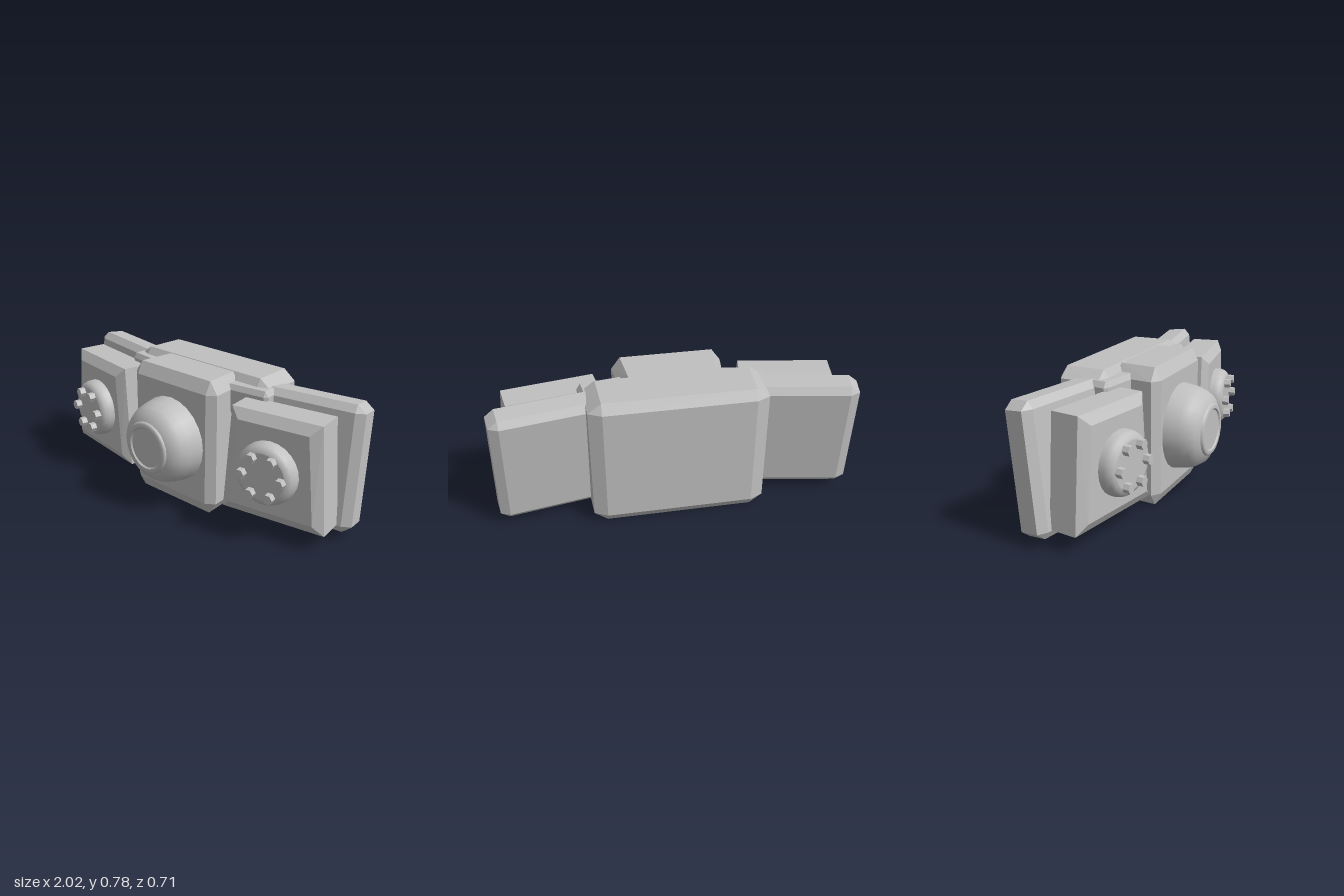
import * as THREE from 'three';
import { ConvexGeometry } from 'three/addons/geometries/ConvexGeometry.js';

const grey = new THREE.MeshStandardMaterial({ color: 0xc0c0c0 });
grey.name = 'light grey';

function part(name, geometry, parent, x = 0, y = 0, z = 0) {
  const mesh = new THREE.Mesh(geometry, grey);
  mesh.name = name;
  mesh.position.set(x, y, z);
  parent.add(mesh);
  return mesh;
}

// Box with half sizes h and chamfers c; the back narrows by the factor backScale
function chamferBox(h, c, backScale = 1) {
  const points = [];
  for (const sx of [-1, 1]) for (const sy of [-1, 1]) for (const sz of [-1, 1]) {
    const k = sz < 0 ? backScale : 1;
    for (let axis = 0; axis < 3; axis++) {
      const p = h.map((v, i) => (i === axis ? v : v - c[i]));
      points.push(new THREE.Vector3(sx * p[0] * k, sy * p[1], sz * p[2]));
    }
  }
  return new ConvexGeometry(points);
}

// Trapezoid pod, wider at the bottom, with a bevelled front
function podGeometry() {
  const points = [];
  for (const [z, inset] of [[-0.08, 0], [0.08, 0], [0.115, 0.055]]) {
    for (const s of [-1, 1]) {
      points.push(new THREE.Vector3(s * (0.257 - inset), 0.3 - inset, z));
      points.push(new THREE.Vector3(s * (0.302 - inset), -0.295 + inset, z));
    }
  }
  return new ConvexGeometry(points);
}

// Lathe turned so that its axis points to the front; points are [radius, z]
function turned(profile, segments) {
  const g = new THREE.LatheGeometry(profile.map(([r, z]) => new THREE.Vector2(r, z)), segments);
  return g.rotateX(Math.PI / 2);
}

export function createModel() {
  const model = new THREE.Group();
  model.name = 'device';
  const midY = 0.39;

  // Central body
  part('rearBlock', chamferBox([0.495, 0.39, 0.147], [0.075, 0.055, 0.035], 0.97), model, 0, midY, -0.208);
  part('frontBlock', chamferBox([0.31, 0.39, 0.14], [0.05, 0.07, 0.037], 0.92), model, 0, midY, 0.018);

  // Round nose with a rim and a flat cap
  part('nose', turned([[0.245, 0.13], [0.245, 0.16], [0.232, 0.24], [0.215, 0.285],
    [0.19, 0.322], [0.15, 0.34]], 24), model, 0, midY);
  part('noseRim', turned([[0.15, 0.335], [0.147, 0.348], [0.138, 0.355], [0.12, 0.355]], 24), model, 0, midY);
  part('noseCap', turned([[0.12, 0.355], [0.113, 0.347]], 24), model, 0, midY);
  part('noseCapFace', new THREE.CircleGeometry(0.113, 24), model, 0, midY, 0.347);

  for (const s of [1, -1]) {
    const side = s > 0 ? 'left' : 'right';

    // Wing panel, swept back and leaning back
    const wing = part(side + 'Wing', chamferBox([0.3, 0.348, 0.08], [0.05, 0.04, 0.028]),
      model, s * 0.7, midY, -0.188);
    wing.rotation.set(-0.1, s * 0.17, 0, 'YXZ');

    // Bracket between the body and the wing
    const bracket = part(side + 'Bracket', chamferBox([0.13, 0.086, 0.055], [0.02, 0.03, 0.015]),
      model, s * 0.38, 0.653, -0.07);
    bracket.rotation.y = s * 0.14;

    // Pod with a round plate and six hexagonal bolts
    const pod = new THREE.Group();
    pod.name = side + 'Pod';
    pod.position.set(s * 0.655, midY, 0);
    pod.rotation.y = s * 0.165;
    model.add(pod);
    part('podBody', podGeometry(), pod);
    part('plateEdge', turned([[0.171, 0.09], [0.171, 0.145], [0.162, 0.172],
      [0.147, 0.188], [0.13, 0.193]], 24), pod, s * -0.01);
    part('plateFace', new THREE.CircleGeometry(0.13, 24), pod, s * -0.01, 0, 0.193);
    for (let i = 0; i < 6; i++) {
      const a = i * Math.PI / 3;
      const bolt = new THREE.CylinderGeometry(0.027, 0.029, 0.05, 6, 1, false, Math.PI / 6).rotateX(Math.PI / 2);
      const flat = bolt.toNonIndexed();
      flat.computeVertexNormals();
      part('bolt', flat, pod, s * -0.01 + 0.112 * Math.cos(a), 0.112 * Math.sin(a), 0.203);
    }
  }
  return model;
}
